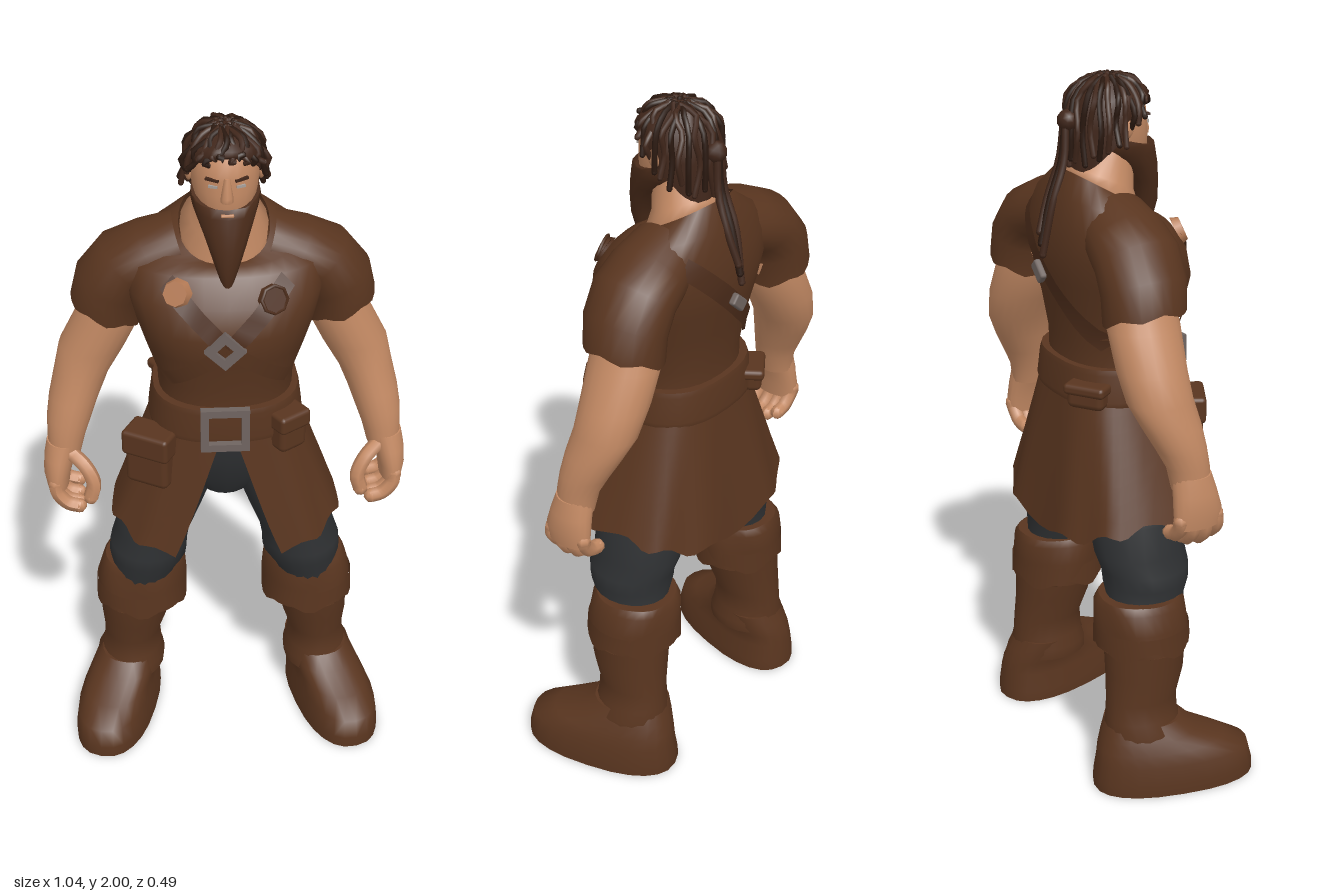
import * as THREE from 'three';
import { mergeGeometries } from 'three/addons/utils/BufferGeometryUtils.js';
import { RoundedBoxGeometry } from 'three/addons/geometries/RoundedBoxGeometry.js';

const mat = (name, color) => {
  const m = new THREE.MeshStandardMaterial({ color, side: THREE.DoubleSide });
  m.name = name;
  return m;
};

// Chest rows: x, y, z, half width, half depth, roll, slope of y over z
const TORSO = [
  [0, 1.10, -.005, .2, .165], [0, 1.2, 0, .185, .16], [0, 1.28, 0, .188, .16], [0, 1.38, .005, .22, .178],
  [0, 1.46, .003, .245, .193], [0, 1.54, -.015, .268, .185], [0, 1.61, -.037, .262, .155],
  [0, 1.66, -.045, .2, .135, 0, -.25], [0, 1.692, -.038, .122, .11, 0, -.6],
];
const POW = 2.3;
const bulge = (c, pow) => Math.sign(c) * Math.abs(c) ** (2 / pow);

// Skin stacked rings, listed bottom to top
function loft(rows, { n = 20, pow = 2, yaw = 0, caps = true, ripple = 0, lobes = 9, hem = () => 0 } = {}) {
  const flat = r => [r[0], r[1], r[2], 0, 0];
  const first = rows[0], last = rows[rows.length - 1];
  const all = caps ? [flat(first), first, ...rows, last, flat(last)] : rows;
  const pos = [], idx = [];
  all.forEach(([x, y, z, rx, rz, roll = 0, slope = 0], i) => {
    for (let j = 0; j < n; j++) {
      const a = j / n * Math.PI * 2, k = 1 + ripple * Math.cos(lobes * a + i);
      const u = bulge(Math.cos(a), pow) * rx * k, w = bulge(Math.sin(a), pow) * rz * k;
      const lx = u * Math.cos(roll), drop = i === 0 ? hem(a) : 0;
      pos.push(x + lx * Math.cos(yaw) + w * Math.sin(yaw), y + u * Math.sin(roll) + w * slope + drop,
        z - lx * Math.sin(yaw) + w * Math.cos(yaw));
      if (i < all.length - 1) {
        const p = i * n + j, q = i * n + (j + 1) % n;
        idx.push(p, p + n, q, q, p + n, q + n);
      }
    }
  });
  return surface(pos, idx);
}

function surface(pos, idx) {
  const g = new THREE.BufferGeometry();
  g.setAttribute('position', new THREE.Float32BufferAttribute(pos, 3));
  g.setIndex(idx);
  g.computeVertexNormals();
  return g;
}

// Round tube with a ball at each end
function cord(points, r, seg = 10) {
  const v = points.map(p => new THREE.Vector3(...p));
  const parts = [new THREE.TubeGeometry(new THREE.CatmullRomCurve3(v), seg, r, 7)];
  for (const p of [v[0], v[v.length - 1]]) parts.push(new THREE.SphereGeometry(r, 7, 5).translate(p.x, p.y, p.z));
  return mergeGeometries(parts);
}

// Depth of the chest surface at x, y
function chestZ(x, y, side) {
  let i = 0;
  while (i < TORSO.length - 2 && TORSO[i + 1][1] < y) i++;
  const a = TORSO[i], b = TORSO[i + 1], t = THREE.MathUtils.clamp((y - a[1]) / (b[1] - a[1]), 0, 1);
  const [cz, rx, rz] = [2, 3, 4].map(k => a[k] + (b[k] - a[k]) * t);
  return cz + side * (rz * Math.max(0, 1 - Math.abs(x / rx) ** POW) ** (1 / POW) + .01);
}

// Strap lying on the chest or back
function ribbon([x0, y0], [x1, y1], w, side) {
  const pos = [], idx = [], n = 12, l = Math.hypot(x1 - x0, y1 - y0);
  const nx = -(y1 - y0) / l * w / 2, ny = (x1 - x0) / l * w / 2;
  for (let i = 0; i <= n; i++) {
    const x = x0 + (x1 - x0) * i / n, y = y0 + (y1 - y0) * i / n;
    for (const s of [-1, 1]) pos.push(x + s * nx, y + s * ny, chestZ(x + s * nx, y + s * ny, side));
    if (i < n) idx.push(2 * i, 2 * i + 2, 2 * i + 1, 2 * i + 1, 2 * i + 2, 2 * i + 3);
  }
  if (side < 0) idx.reverse();
  return surface(pos, idx);
}

// Square frame with a hole
function frame(size, bar, depth) {
  const sq = (C, h) => new C([[-h, -h], [h, -h], [h, h], [-h, h]].map(p => new THREE.Vector2(...p)));
  const s = sq(THREE.Shape, size);
  s.holes.push(sq(THREE.Path, size - bar));
  return new THREE.ExtrudeGeometry(s, { depth, bevelEnabled: false });
}

// Coat skirt, split open at the front, with a ragged hem
function skirt() {
  const pos = [], idx = [], n = 56, m = 8;
  for (let i = 0; i <= m; i++) for (let j = 0; j <= n; j++) {
    const v = i / m, g = .02 + .34 * v, f = g + (2 * Math.PI - 2 * g) * j / n;
    const hem = .737 + .07 * Math.sin(f) ** 2 + .012 * Math.cos(11 * f), fold = 1 + .02 * v * Math.cos(9 * f);
    pos.push((.2 + .127 * v) * bulge(Math.sin(f), 2.8) * fold, 1.15 + (hem - 1.15) * v,
      -.005 - .01 * v + (.17 + .055 * v) * bulge(Math.cos(f), 2.8) * fold);
    if (i < m && j < n) {
      const p = i * (n + 1) + j, q = p + n + 1;
      idx.push(p, q, p + 1, p + 1, q, q + 1);
    }
  }
  return surface(pos, idx);
}

export function createModel() {
  const model = new THREE.Group();
  const leather = mat('brown leather', 0x59351f), strapMat = mat('dark leather', 0x4c2c1a);
  const skin = mat('skin', 0xc48a64), hair = mat('hair', 0x40261a), darkHair = mat('dark hair', 0x2a180f);
  const cloth = mat('charcoal cloth', 0x2f3133), metal = mat('dull metal', 0x6f6460);
  const bronze = mat('bronze', 0xb47a55), eyeMat = mat('eye', 0xa8a09a);

  const add = (name, geo, m, p = [0, 0, 0], r = [0, 0, 0]) => {
    const mesh = new THREE.Mesh(geo, m);
    mesh.name = name;
    mesh.position.set(...p);
    mesh.rotation.set(...r);
    model.add(mesh);
  };
  // Left part plus its mirrored twin
  const pair = (name, geo, m) => {
    add('left ' + name, geo, m);
    const twin = geo.clone().scale(-1, 1, 1);
    twin.index.array.reverse();
    twin.computeVertexNormals();
    add('right ' + name, twin, m);
  };

  // Tunic, sleeves and skirt
  add('tunic', loft(TORSO, { n: 32, pow: POW, caps: false }), leather);
  pair('sleeve', loft([
    [.323, 1.42, -.085, .102, .115, .33], [.31, 1.5, -.08, .1, .12, .45], [.262, 1.565, -.072, .096, .122, .75],
    [.19, 1.595, -.062, .095, .116, 1.05], [.11, 1.62, -.055, .095, .1, 1.25],
  ], { n: 24, caps: false, hem: a => .007 * Math.cos(6 * a) }), leather);
  add('skirt', skirt(), leather);

  // Arms and hands
  pair('arm', loft([
    [.458, .98, -.02, .047, .055], [.45, 1.04, -.025, .055, .06], [.44, 1.09, -.04, .064, .07], [.424, 1.15, -.06, .071, .082],
    [.4, 1.22, -.083, .078, .092], [.367, 1.3, -.09, .093, .095], [.318, 1.4, -.085, .092, .1], [.29, 1.5, -.08, .08, .09],
  ]), skin);
  pair('palm', loft([[.482, .875, -.012, .032, .068], [.482, .92, -.012, .039, .072], [.473, .97, -.016, .045, .064], [.458, 1.02, -.02, .05, .056]]), skin);
  for (let i = 0; i < 4; i++) {
    const z = -.068 + i * .037, d = [.025, .006, 0, .012][i];
    pair('finger ' + (i + 1), cord([[.488, .9, z], [.484, .86 + d, z + .003], [.455, .825 + d, z + .006], [.422, .815 + d, z + .008]], .021), skin);
  }
  pair('thumb', cord([[.44, .99, .015], [.4, .96, .045], [.378, .91, .06], [.388, .865, .062]], .022), skin);

  // Trousers
  add('hips', loft([[0, .86, -.03, .08, .09], [0, .93, -.025, .16, .125], [0, 1.03, -.01, .185, .145], [0, 1.13, -.005, .18, .15]]), cloth);
  pair('trouser leg', loft([
    [.25, .5, -.035, .1, .11], [.238, .57, -.025, .098, .115], [.229, .61, -.02, .115, .124], [.226, .65, -.02, .114, .128],
    [.212, .7, -.03, .11, .133], [.188, .8, -.03, .126, .138], [.145, .92, -.03, .128, .135], [.115, 1.0, -.02, .1, .12],
  ]), cloth);

  // Boots
  pair('boot cuff', loft([
    [.252, .43, -.045, .134, .134], [.25, .5, -.047, .133, .133], [.244, .555, -.047, .124, .13], [.243, .575, -.045, .112, .12],
  ], { n: 30, ripple: .02, lobes: 5 }), leather);
  pair('cuff fringe', loft([[.252, .43, -.045, .137, .138], [.251, .49, -.046, .135, .136]],
    { n: 30, caps: false, hem: a => -.016 * Math.sin(5 * a) }), leather);
  pair('boot shaft', loft([
    [.29, .14, -.06, .1, .12], [.291, .175, -.06, .104, .118], [.286, .21, -.065, .088, .11], [.285, .27, -.065, .085, .106],
    [.276, .35, -.05, .1, .116], [.268, .46, -.045, .108, .122],
  ]), leather);
  pair('boot foot', loft([
    [.335, 0, .015, .116, .238], [.335, .035, .015, .116, .237], [.335, .09, .012, .108, .226], [.322, .125, -.018, .1, .188],
    [.303, .16, -.05, .097, .14], [.288, .2, -.062, .088, .11],
  ], { n: 24, pow: 2.4, yaw: .25 }), leather);

  // Belt, buckle and pouches
  add('belt', loft([[0, 1.125, -.003, .213, .182], [0, 1.14, -.003, .216, .185], [0, 1.215, 0, .206, .181], [0, 1.23, 0, .202, .177]], { n: 32, pow: 2.5 }), leather);
  add('belt buckle', frame(.067, .022, .02), metal, [-.01, 1.18, .184]);
  const pouch = (name, [w, h, d], p, yaw) => {
    add(name, new RoundedBoxGeometry(w, h, d, 2, .018), leather, p, [0, yaw, 0]);
    add(name + ' flap', new RoundedBoxGeometry(w + .012, h * .45, d + .014, 2, .012), leather, [p[0], p[1] + h * .29, p[2]], [0, yaw, 0]);
  };
  pouch('large pouch', [.13, .17, .08], [-.212, 1.055, .125], -.5);
  pouch('small pouch', [.09, .12, .07], [.165, 1.145, .14], .6);
  pouch('back pouch', [.11, .07, .05], [-.15, 1.16, -.16], Math.PI + .6);

  // Crossed straps with clasps
  for (const s of [-1, 1]) {
    add('chest strap', ribbon([s * .16, 1.6], [0, 1.44], .05, 1), strapMat);
    add('lower chest strap', ribbon([0, 1.44], [s * .17, 1.3], .045, 1), leather);
  }
  add('back strap', ribbon([.17, 1.63], [-.17, 1.3], .055, -1), strapMat);
  add('chest clasp', frame(.04, .022, .016), metal, [-.01, 1.44, .197], [0, 0, Math.PI / 4]);
  add('back clasp', new RoundedBoxGeometry(.06, .035, .02, 1, .006), metal, [.01, 1.48, -.218], [0, 0, .75]);
  const disc = new THREE.CylinderGeometry(.034, .042, .022, 8);
  add('right brooch', disc, bronze, [-.135, 1.58, .137], [1.1, 0, .4]);
  add('left brooch', disc, strapMat, [.12, 1.56, .148], [1.1, 0, -.4]);
  add('left brooch rim', new THREE.TorusGeometry(.037, .005, 5, 8), strapMat, [.122, 1.565, .156], [-.4, .35, 0]);

  // Neck and face
  add('neck', loft([
    [0, 1.6, -.03, .11, .1, 0, -.4], [0, 1.692, -.038, .119, .107, 0, -.6], [0, 1.72, -.028, .09, .085, 0, -.45], [0, 1.8, -.01, .068, .07],
  ]), skin);
  add('head', loft([
    [0, 1.75, .025, .058, .062], [0, 1.79, .02, .076, .083], [0, 1.84, .01, .087, .092], [0, 1.88, .006, .09, .094],
    [0, 1.93, 0, .086, .094], [0, 1.965, -.008, .06, .07],
  ]), skin);
  add('nose', loft([[0, 1.825, .1, .017, .016], [0, 1.84, .1, .016, .02], [0, 1.89, .094, .009, .01]], { n: 8 }), skin);
  add('lip', new RoundedBoxGeometry(.034, .008, .012, 1, .003), skin, [0, 1.797, .122]);
  for (const s of [-1, 1]) {
    add('ear', new THREE.SphereGeometry(.022, 8, 6).scale(.5, 1.2, 1), skin, [s * .094, 1.865, -.005]);
    add('eye', new THREE.BoxGeometry(.024, .007, .006), eyeMat, [s * .036, 1.866, .093], [0, s * .35, 0]);
    add('eyebrow', new THREE.BoxGeometry(.036, .006, .009), hair, [s * .038, 1.885, .092], [0, s * .35, s * .12]);
  }

  // Beard
  add('beard', loft([
    [0, 1.572, .118, .008, .012], [0, 1.64, .112, .03, .034], [0, 1.7, .098, .05, .043], [0, 1.745, .07, .068, .066],
    [0, 1.785, .038, .084, .088], [0, 1.812, .024, .091, .096], [0, 1.826, .018, .09, .09, 0, -.3],
  ], { n: 24, ripple: .02, lobes: 12 }), strapMat);

  // Hair with wavy locks, knot and tail
  add('hair', loft([
    [0, 1.84, -.017, .097, .108, 0, .95], [0, 1.9, -.012, .102, .11, 0, .45], [0, 1.945, -.01, .09, .102, 0, .15],
    [0, 1.978, -.01, .058, .068], [0, 1.992, -.01, .02, .025],
  ], { n: 44, ripple: .025, lobes: 11 }), hair);
  for (let i = 0; i < 30; i++) {
    const a = i / 30 * Math.PI * 2, c = Math.cos(a), s = Math.sin(a), k = .01 * Math.sin(i * 1.7);
    const end = 1.835 + (s > 0 ? .11 : .06) * s + .012 * Math.sin(i * 2.4);
    add('lock ' + (i + 1), cord([[.02 * c - k, 1.992, -.01 + .025 * s], [.062 * c + k, 1.977, -.01 + .073 * s + k],
      [.094 * c - k, 1.94, -.012 + .105 * s], [.106 * c + k, (end + 1.94) / 2, -.015 + .113 * s], [.11 * c - k, end, -.017 + .11 * s]], .008),
      i % 2 ? hair : darkHair);
  }
  add('hair knot', new THREE.IcosahedronGeometry(.03, 1), hair, [0, 1.885, -.13]);
  for (let i = -1; i <= 1; i++) {
    add('hair tail', cord([[i * .006, 1.88, -.14], [i * .014, 1.78, -.15], [i * .018, 1.68, -.185], [i * .008, 1.56 + .03 * i, -.215]], .01), i ? hair : darkHair);
  }
  return model;
}
